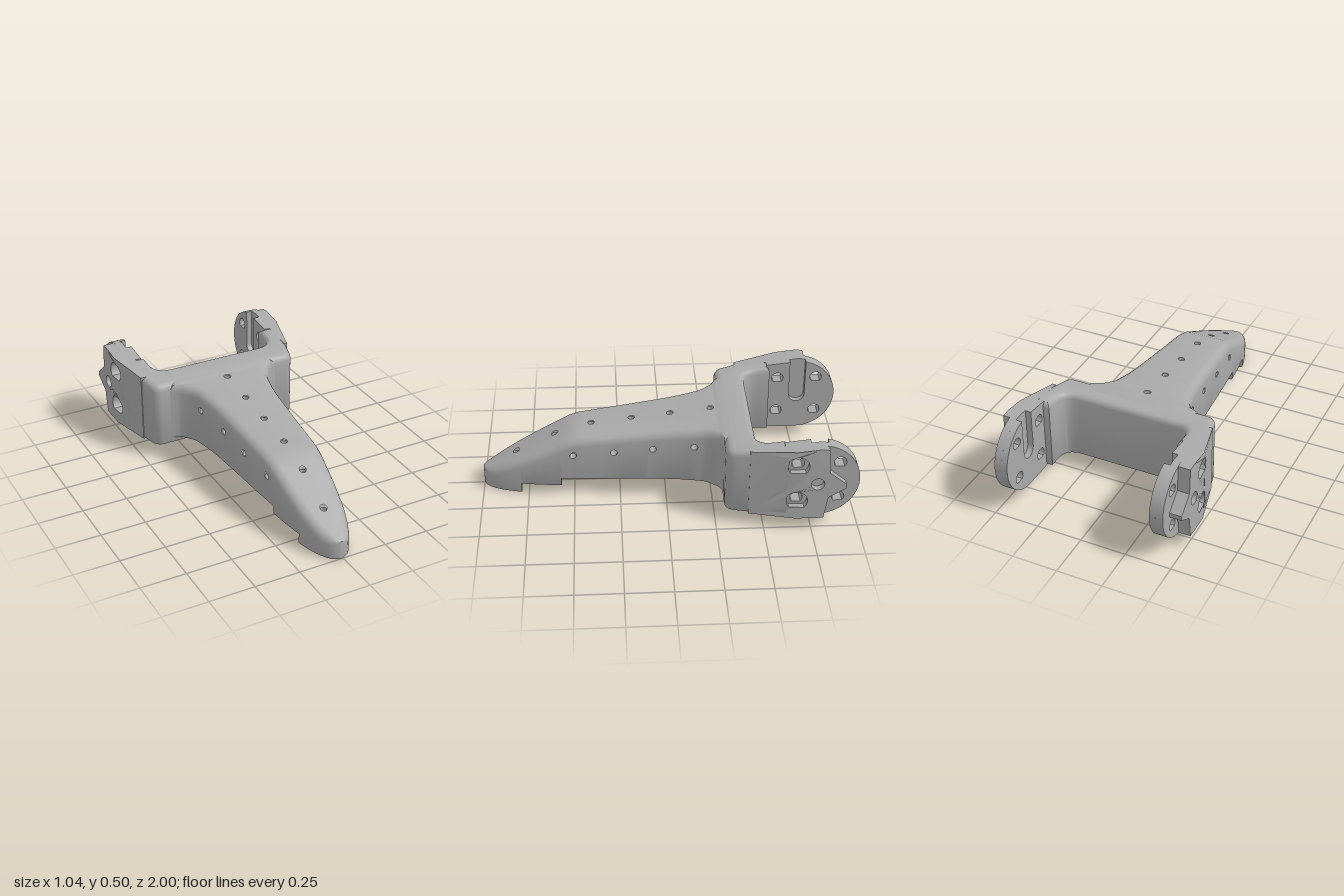
import * as THREE from 'three';
import { toCreasedNormals } from 'three/addons/utils/BufferGeometryUtils.js';

const CENTRE = -0.012; // tongue centre line
const HOLE = 0.018;
const BOTTOM = 0.07;
const TOP_HOLES = [0.815, 0.6, 0.4, 0.18, -0.03, -0.25];
const SIDE_HOLES = [[0.5, 0.25], [0.28, 0.275], [0.07, 0.3], [-0.15, 0.325]];

const topY = z => (z > 0.5 ? 0.355 - 0.5 * (z - 0.5) : 0.355 + 0.1133 * (0.5 - z));
// outer side of the arms, widening towards the back (s = -z)
const outerX = s => Math.min(0.52, 0.44 + 0.08 * (s - 0.33) / 0.33);

// half width of the tongue along z
const WIDTHS = [[1, 0.01], [0.997, 0.022], [0.985, 0.045], [0.965, 0.064], [0.935, 0.082], [0.9, 0.097],
  [0.85, 0.113], [0.79, 0.126], [0.68, 0.142], [0.57, 0.152], [0.4, 0.166], [0.2, 0.178], [0, 0.193],
  [-0.1, 0.206], [-0.2, 0.228], [-0.25, 0.255], [-0.28, 0.285], [-0.3, 0.33], [-0.38, 0.33]];
function halfWidth(z) {
  for (let i = 1; i < WIDTHS.length; i++) {
    const [z0, w0] = WIDTHS[i - 1], [z1, w1] = WIDTHS[i];
    if (z >= z1) return w0 + (w1 - w0) * (z0 - z) / (z0 - z1);
  }
  return 0.33;
}
const bottomY = z => (z > 0.79 ? 0 : z > 0.57 ? 0.055 : 0.1 + 0.01 * (0.57 - z));

// rounded cross-section, five points to a corner
function ring(z, b) {
  const w = halfWidth(z), t = topY(z);
  const rt = Math.min(0.05, 0.6 * w, 0.4 * (t - b)), rb = Math.min(0.012, 0.5 * w);
  const corners = [[w - rb, b + rb, rb, -90], [w - rt, t - rt, rt, 0], [rt - w, t - rt, rt, 90], [rb - w, b + rb, rb, 180]];
  const pts = [];
  for (const [x, y, r, start] of corners) {
    for (let k = 0; k < 5; k++) {
      const a = THREE.MathUtils.degToRad(start + k * 22.5);
      pts.push(new THREE.Vector3(CENTRE + x + r * Math.cos(a), y + r * Math.sin(a), z));
    }
  }
  return pts;
}

// lofted tongue whose flat panels are pierced where a hole passes
function tongueGeometry() {
  const stations = [1, 0.997, 0.985, 0.965, 0.935, 0.9, 0.865, 0.75, 0.68, 0.45, 0.34, 0.23, 0.12, 0.02,
    -0.09, -0.2, -0.285, -0.293, -0.3, -0.38].map(z => [z, bottomY(z)]);
  stations.push([0.79, 0], [0.79, 0.055], [0.57, 0.055], [0.57, 0.1]);
  const cuts = [];
  const addCut = (z, y, half) => {
    stations.push([z + half, bottomY(z + half)], [z - half, bottomY(z - half)]);
    cuts.push({ z, y });
  };
  TOP_HOLES.forEach((z, i) => addCut(z, null, i === 0 ? 0.022 : 0.025));
  SIDE_HOLES.forEach(([z, y]) => addCut(z, y, 0.025));
  stations.sort((p, q) => q[0] - p[0] || p[1] - q[1]);

  const rings = stations.map(([z, b]) => ring(z, b));
  const out = [];
  const push = (...vs) => vs.forEach(v => out.push(v.x, v.y, v.z));
  for (let k = 1; k < 19; k++) push(rings[0][0], rings[0][k], rings[0][k + 1]);
  for (let i = 0; i + 1 < rings.length; i++) {
    const z0 = stations[i][0], z1 = stations[i + 1][0];
    const cut = cuts.find(c => c.z < z0 && c.z > z1);
    for (let j = 0; j < 20; j++) {
      const a = rings[i][j], b = rings[i][(j + 1) % 20], c = rings[i + 1][(j + 1) % 20], d = rings[i + 1][j];
      const pierced = cut && (cut.y === null ? j === 9 || j === 19 : j === 4 || j === 14);
      if (!pierced) { push(a, d, c, a, c, b); continue; }
      const panel = new THREE.Shape([[0, 0], [1, 0], [1, 1], [0, 1]].map(p => new THREE.Vector2(...p)));
      const u = (z0 - cut.z) / (z0 - z1);
      const v = cut.y === null ? 0.5 : (cut.y - a.y) / (b.y - a.y);
      panel.holes.push(new THREE.Path().absellipse(u, v, HOLE / (z0 - z1), HOLE / a.distanceTo(b), 0, Math.PI * 2, true));
      const g = new THREE.ShapeGeometry(panel, 8).toNonIndexed().attributes.position;
      for (let k = 0; k < g.count; k++) {
        const lo = a.clone().lerp(d, g.getX(k)), hi = b.clone().lerp(c, g.getX(k));
        push(lo.lerp(hi, g.getY(k)));
      }
    }
  }
  const geo = new THREE.BufferGeometry();
  geo.setAttribute('position', new THREE.Float32BufferAttribute(out, 3));
  return toCreasedNormals(geo, 0.6);
}

// crossbar with the roots of both arms, rounded along its top edges
function yokeGeometry() {
  const s = new THREE.Shape();
  s.moveTo(-0.385, 0.3);
  s.lineTo(0.385, 0.3);
  s.quadraticCurveTo(0.432, 0.3, 0.443, 0.355);
  s.lineTo(0.505, 0.615);
  s.lineTo(0.375, 0.615);
  s.lineTo(0.375, 0.55);
  s.quadraticCurveTo(0.375, 0.46, 0.285, 0.46);
  s.lineTo(-0.265, 0.46);
  s.quadraticCurveTo(-0.355, 0.46, -0.355, 0.55);
  s.lineTo(-0.355, 0.615);
  s.lineTo(-0.505, 0.615);
  s.lineTo(-0.443, 0.355);
  s.quadraticCurveTo(-0.432, 0.3, -0.385, 0.3);
  const bevel = 0.035, height = 0.4;
  const geo = new THREE.ExtrudeGeometry(s, { depth: height - 2 * bevel, bevelThickness: bevel, bevelSize: bevel,
    bevelOffset: -bevel, bevelSegments: 4, curveSegments: 6 });
  geo.translate(0, 0, bevel).rotateX(-Math.PI / 2);
  const p = geo.attributes.position;
  for (let i = 0; i < p.count; i++) {
    const t = p.getY(i);
    p.setY(i, t < height / 2 ? BOTTOM + t * 0.35 : topY(p.getZ(i)) - (height - t));
  }
  return toCreasedNormals(geo, 0.6);
}

// round bolt hole with a pointed lower end
function teardrop(s, y, r) {
  const h = new THREE.Path();
  h.moveTo(s, y - r * 1.41);
  h.absarc(s, y, r, -Math.PI / 4, Math.PI * 1.25, false);
  h.closePath();
  return h;
}

// one layer of an arm, drawn in (s, y) and cut to the tapering outer side
function layer(shape, x0, x1) {
  const geo = new THREE.ExtrudeGeometry(shape, { depth: x1 - x0, bevelEnabled: false, curveSegments: 20 });
  geo.translate(0, 0, x0).rotateY(Math.PI / 2);
  const p = geo.attributes.position;
  for (let i = 0; i < p.count; i++) p.setX(i, Math.min(p.getX(i), outerX(-p.getZ(i))));
  return toCreasedNormals(geo, 0.5);
}

const BOLTS = [[0.665, 0.395], [0.665, 0.18], [0.885, 0.395], [0.885, 0.18]];

function roundEnd(start, groove) {
  const s = new THREE.Shape();
  s.moveTo(start, BOTTOM);
  s.lineTo(0.66, BOTTOM);
  s.absarc(0.78, 0.285, 0.215, -Math.PI / 2, groove ? 1.36 : Math.PI / 2, false);
  if (groove) {
    s.lineTo(0.825, 0.285);
    s.absarc(0.78, 0.285, 0.045, 0, -Math.PI, true);
    s.lineTo(0.735, topY(-0.735));
  }
  s.lineTo(0.66, topY(-0.66));
  s.lineTo(start, topY(-start));
  BOLTS.forEach(([a, y]) => s.holes.push(teardrop(a, y, 0.033)));
  return s;
}

function outerPlate() {
  const s = new THREE.Shape([[0.42, BOTTOM], [0.66, BOTTOM], [0.81, BOTTOM], [0.83, 0.2], [0.92, 0.255], [0.92, 0.28],
    [0.83, 0.355], [0.82, 0.496], [0.78, 0.5], [0.66, topY(-0.66)], [0.42, topY(-0.42)]]
    .map(p => new THREE.Vector2(...p)));
  BOLTS.slice(0, 2).forEach(([a, y]) => s.holes.push(teardrop(a, y, 0.056)));
  s.holes.push(new THREE.Path().absarc(0.77, 0.285, 0.035, 0, Math.PI * 2, true));
  return s;
}

export function createModel() {
  const model = new THREE.Group();
  model.name = 'yokeBracket';
  const grey = new THREE.MeshStandardMaterial({ color: 0xaaaaaa, side: THREE.DoubleSide });
  grey.name = 'grey';
  const add = (parent, geo, name) => {
    const mesh = new THREE.Mesh(geo, grey);
    mesh.name = name;
    parent.add(mesh);
    return mesh;
  };

  add(model, tongueGeometry(), 'tongue');
  add(model, yokeGeometry(), 'crossbar');

  // walls of the drilled holes
  for (const z of TOP_HOLES) {
    const b = bottomY(z), t = topY(z) - (z > 0.5 ? 0.009 : 0.002);
    add(model, new THREE.CylinderGeometry(HOLE, HOLE, t - b, 16, 1, true), 'verticalHole').position.set(CENTRE, (t + b) / 2, z);
  }
  for (const [z, y] of SIDE_HOLES) {
    const tube = new THREE.CylinderGeometry(HOLE, HOLE, 2 * halfWidth(z) - 0.006, 16, 1, true).rotateZ(Math.PI / 2);
    add(model, tube, 'sideHole').position.set(CENTRE, y, z);
  }

  // arms: the inner layers sit slightly further out on the left
  for (const [name, side, shift] of [['leftArm', 1, 0.028], ['rightArm', -1, 0]]) {
    const arm = new THREE.Group();
    arm.name = name;
    arm.scale.x = side;
    add(arm, layer(roundEnd(0.6, true), 0.382 + shift, 0.415 + shift), 'groovedDisc');
    add(arm, layer(roundEnd(0.42, false), 0.415 + shift, 0.455 + shift), 'backingDisc');
    add(arm, layer(outerPlate(), 0.455 + shift, 0.52), 'outerPlate');
    model.add(arm);
  }
  return model;
}
